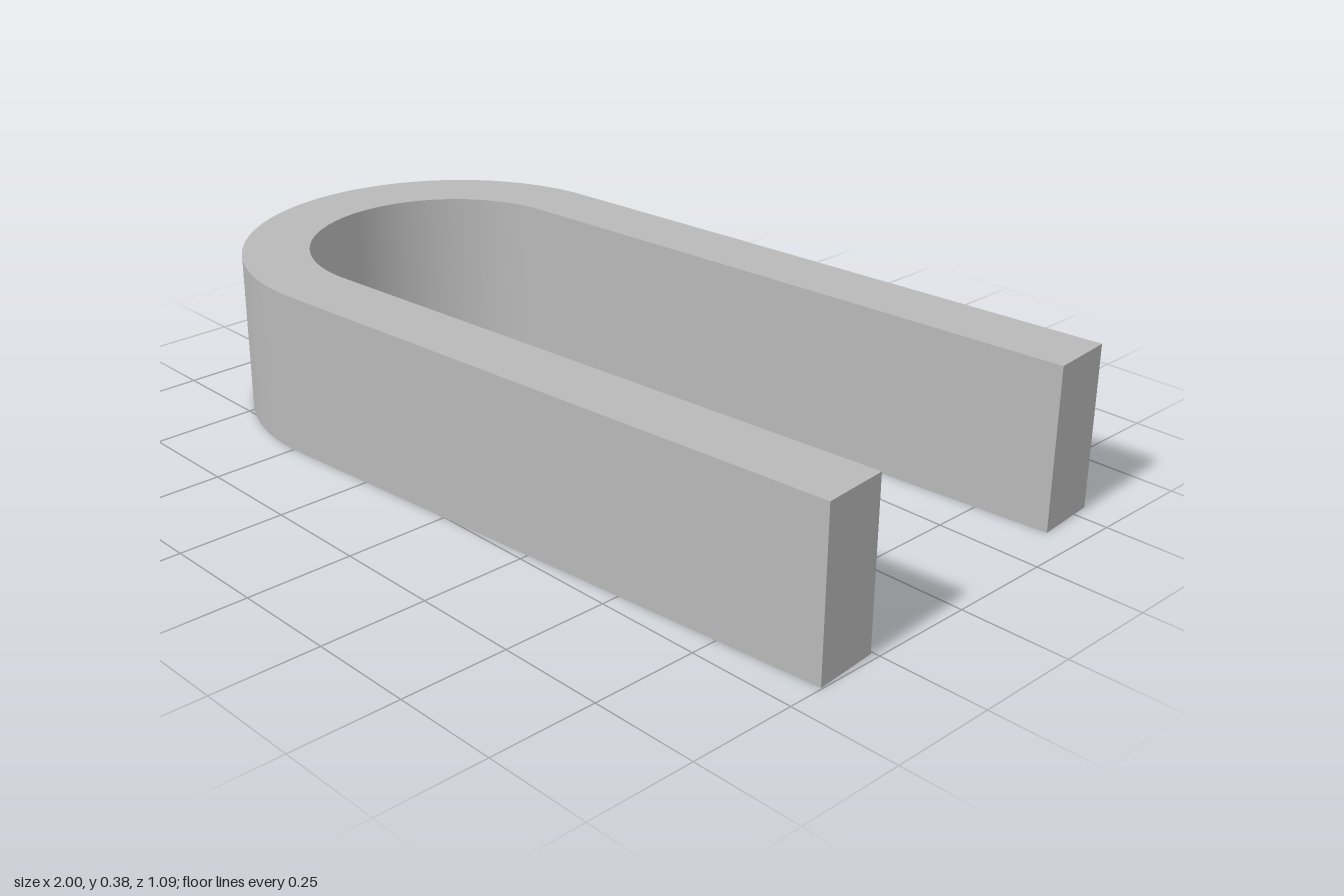
import * as THREE from 'three';
import { toCreasedNormals } from 'three/addons/utils/BufferGeometryUtils.js';

const OUTER = 0.481;    // outer radius of the bend
const INNER = 0.323;    // inner radius of the bend
const ARM = 1.48;       // straight arm length
const HEIGHT = 0.385;
const TILT = THREE.MathUtils.degToRad(5);

export function createModel() {
  const group = new THREE.Group();
  group.name = 'uBracket';
  const grey = new THREE.MeshStandardMaterial({ color: 0xb8b8b8 });
  grey.name = 'plain grey';

  // U outline: outer edge round the bend, then back along the inner edge
  const outline = new THREE.Shape();
  outline.moveTo(ARM, OUTER);
  outline.lineTo(0, OUTER);
  outline.absarc(0, 0, OUTER, Math.PI / 2, Math.PI * 1.5, false);
  outline.lineTo(ARM, -OUTER);
  outline.lineTo(ARM, -INNER);
  outline.lineTo(0, -INNER);
  outline.absarc(0, 0, INNER, Math.PI * 1.5, Math.PI / 2, true);
  outline.lineTo(ARM, INNER);
  outline.closePath();

  // Raise the outline into a band with a smooth bend and sharp edges
  const band = new THREE.ExtrudeGeometry(outline, { depth: HEIGHT, bevelEnabled: false, curveSegments: 48 });
  band.rotateX(-Math.PI / 2);
  const bracket = new THREE.Mesh(toCreasedNormals(band, Math.PI / 6), grey);
  bracket.name = 'bentBand';
  bracket.rotation.y = TILT;
  bracket.position.set(-0.519, 0, 0.064);
  group.add(bracket);
  return group;
}
